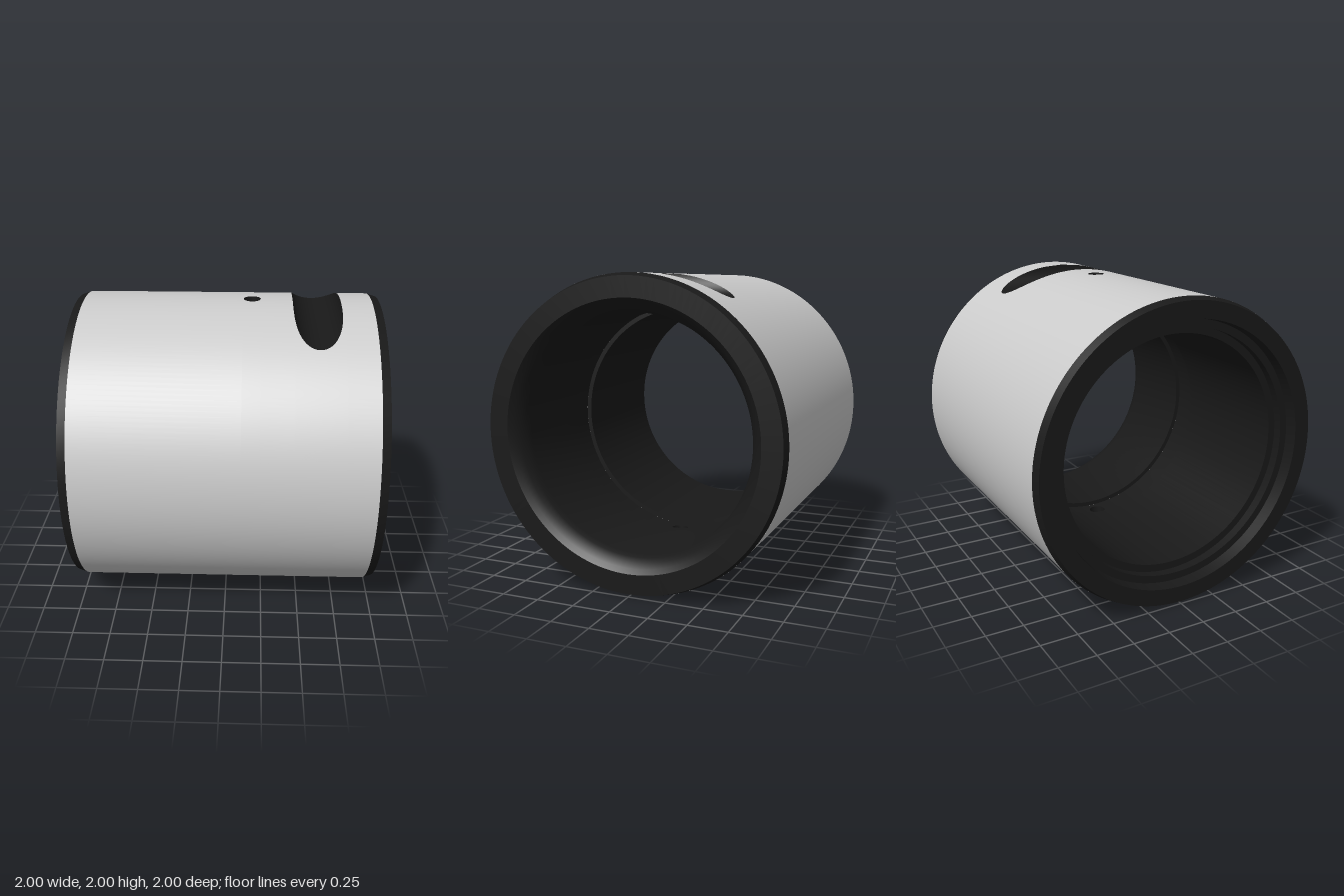
import * as THREE from 'three';
import { toCreasedNormals } from 'three/addons/utils/BufferGeometryUtils.js';

const R = 0.998;                                   // outer radius
const BORE = 0.76, GROOVE = 0.79;                  // bore and oil groove radii
const EDGE = 0.945;                                // where the outer chamfers start
const HOLE = { x: 0.163, r: 0.056 };               // oil holes, top and bottom
const SLOT = { x: 0.585, r: 0.157, y: 1.0 };       // round cross cut on top
const SLOT_HALF = Math.sqrt(SLOT.r ** 2 - (SLOT.y - R) ** 2);

const steel = new THREE.MeshStandardMaterial({ color: 0xcccccc, side: THREE.DoubleSide });
const dark = new THREE.MeshStandardMaterial({ color: 0x191919, side: THREE.DoubleSide });

// Grid surface from point(u index, v in 0..1); optional normal rule.
function gridSurface(us, rows, point, normal) {
  const pos = [], idx = [], nor = [];
  us.forEach((u, i) => {
    for (let j = 0; j <= rows; j++) {
      const p = point(u, j / rows);
      pos.push(...p);
      if (normal) nor.push(...normal(p));
      if (i && j) {
        const d = i * (rows + 1) + j, c = d - 1, b = d - rows - 1, a = b - 1;
        idx.push(a, b, c, b, d, c);
      }
    }
  });
  const g = new THREE.BufferGeometry();
  g.setAttribute('position', new THREE.Float32BufferAttribute(pos, 3));
  g.setIndex(idx);
  if (normal) g.setAttribute('normal', new THREE.Float32BufferAttribute(nor, 3));
  else g.computeVertexNormals();
  return g;
}

// Stations across a round opening, denser towards its ends.
const across = (x, half, n) =>
  Array.from({ length: n + 1 }, (_, i) => x - half * Math.cos((i / n) * Math.PI));

const slotFloor = x =>
  SLOT.y - Math.sqrt(Math.max(0, SLOT.r ** 2 - (x - SLOT.x) ** 2));
const holeHalf = x => Math.sqrt(Math.max(0, HOLE.r ** 2 - (x - HOLE.x) ** 2));

// Half angles left open at the top and bottom of the tube at station x.
function openings(x, radius) {
  const hole = Math.asin(holeHalf(x) / radius);
  const inSlot = radius === R && Math.abs(x - SLOT.x) < SLOT_HALF;
  const slot = inSlot ? Math.acos(Math.min(1, slotFloor(x) / R)) : 0;
  return [Math.max(hole, slot), hole];
}

// One half of a tube wall; side = +1 front, -1 back; out = +1 faces outward.
function halfTube(xs, radius, side, out) {
  const order = side * out > 0 ? xs.slice().reverse() : xs;
  return gridSurface(order, 96, (x, v) => {
    const [top, bottom] = openings(x, radius);
    const t = top + v * (Math.PI - bottom - top);
    return [x, radius * Math.cos(t), side * radius * Math.sin(t)];
  }, p => [0, out * p[1] / radius, out * p[2] / radius]);
}

// Ring parts turned about the x axis, with sharp edges kept.
function turned(profile) {
  const g = new THREE.LatheGeometry(profile.map(p => new THREE.Vector2(...p)), 128);
  g.rotateZ(-Math.PI / 2);
  return toCreasedNormals(g, 0.35);
}

export function createModel() {
  const group = new THREE.Group();
  const add = (name, geometry, material) => {
    const mesh = new THREE.Mesh(geometry, material);
    mesh.name = name;
    mesh.position.y = R;
    group.add(mesh);
  };

  const holeXs = across(HOLE.x, HOLE.r, 24);
  const outerXs = [-EDGE, ...holeXs, ...across(SLOT.x, SLOT_HALF, 48), EDGE];
  const grooveXs = [0.06, ...holeXs, 0.26];

  // outer sleeve and the oil groove floor, in mirrored halves
  for (const side of [1, -1]) {
    const where = side > 0 ? 'Front' : 'Back';
    add('outerSleeve' + where, halfTube(outerXs, R, side, 1), steel);
    add('oilGroove' + where, halfTube(grooveXs, GROOVE, side, -1), dark);
  }

  // end faces with chamfers, seal seats and bore
  add('leftEndAndBore', turned([
    [R, EDGE], [0.98, 1], [0.85, 1], [0.82, 0.975], [0.79, 0.94],
    [0.77, 0.9], [BORE, 0.86], [BORE, 0.26], [GROOVE, 0.26],
  ]), dark);
  add('rightEndAndBore', turned([
    [GROOVE, 0.06], [BORE, 0.06], [BORE, -0.86], [0.81, -0.86], [0.81, -0.92],
    [0.86, -0.92], [0.87, -1], [0.98, -1], [R, -EDGE],
  ]), dark);

  // curved floor of the cross cut
  add('crossSlot', gridSurface(across(SLOT.x, SLOT_HALF, 48), 24, (x, v) => {
    const y = Math.min(R, slotFloor(x));
    return [x, y, (1 - 2 * v) * Math.sqrt(R * R - y * y)];
  }), dark);

  // oil hole walls, running from groove to outer surface
  const turns = Array.from({ length: 49 }, (_, i) => (i / 48) * Math.PI * 2);
  for (const side of [1, -1]) {
    add(side > 0 ? 'topOilHole' : 'bottomOilHole', gridSurface(turns, 1, (a, v) => {
      const z = side * HOLE.r * Math.sin(a);
      const radius = v ? R : GROOVE;
      return [HOLE.x + HOLE.r * Math.cos(a), side * Math.sqrt(radius ** 2 - z * z), z];
    }), dark);
  }
  return group;
}
